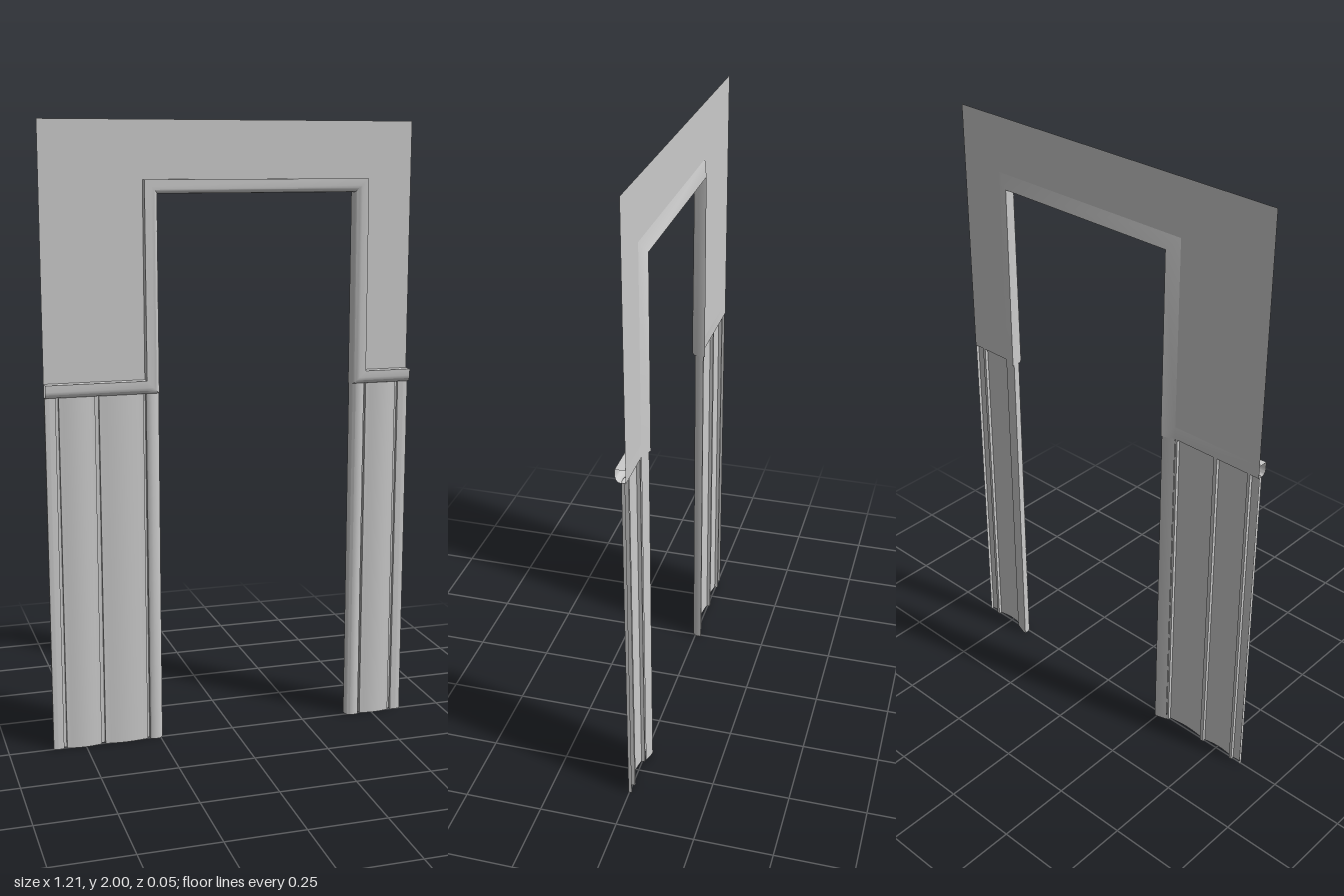
import * as THREE from 'three';
import { toCreasedNormals } from 'three/addons/utils/BufferGeometryUtils.js';

const HALF = 0.606, TOP = 2, RAIL = 1.2, HEAD = 1.82;
const LEFT = 0.45, RIGHT = -0.285;   // outer edges of the door casing
const W = 0.043;                     // casing and rail width
const WALL_Z = -0.01;

const material = new THREE.MeshStandardMaterial({ color: 0xcccccc, side: THREE.DoubleSide });

// Skin a list of equal-length cross-sections into an open sheet.
function loft(sections, crease = 0.6) {
  const n = sections[0].length, index = [];
  for (let i = 0; i < sections.length - 1; i++) {
    for (let j = 0; j < n - 1; j++) {
      const a = i * n + j, b = a + n;
      index.push(a, b, a + 1, b, b + 1, a + 1);
    }
  }
  const geo = new THREE.BufferGeometry();
  geo.setAttribute('position', new THREE.Float32BufferAttribute(sections.flat(2), 3));
  geo.setIndex(index);
  return toCreasedNormals(geo, crease);
}

function part(name, geometry) {
  const mesh = new THREE.Mesh(geometry, material);
  mesh.name = name;
  return mesh;
}

// Moulding section at a path point; (dx, dy) points toward the moulding's inner edge.
function mouldingSection([x, y, dx, dy, front, back]) {
  const profile = [
    [0, WALL_Z], [0, front], [0.5, front], [0.72, front - 0.002], [0.88, front - 0.006],
    [0.97, front - 0.012], [1, front - 0.02], [1, back], [0, WALL_Z],
  ];
  return profile.map(([t, z]) => [x + dx * t * W, y + dy * t * W, z]);
}

// Boarded sheet: flat-ended bowed boards with narrow grooves between them.
function boardProfile(edges) {
  const pts = [];
  for (const [x0, x1] of edges) {
    const bow = Math.abs(x1 - x0) > 0.06 ? 0.007 : 0.002;
    pts.push([x0, -0.008]);
    for (let k = 0; k <= 8; k++) {
      const t = k / 8;
      pts.push([x0 + (x1 - x0) * t, 0.003 + bow * Math.sin(Math.PI * t)]);
    }
    pts.push([x1, -0.008]);
  }
  return pts;
}

// Rounded jamb strip wrapping round to the back of the sheet.
function jambProfile(outer, inner) {
  const at = t => outer + (inner - outer) * t;
  return [[0, -0.008], [0, 0.006], [0.1, 0.01], [0.4, 0.012], [0.7, 0.01], [0.9, 0.005],
    [1, -0.003], [1, -0.021], [0.8, -0.021], [0, -0.01]].map(([t, z]) => [at(t), z]);
}

function wainscot(name, boards, outer, inner) {
  const profile = [...boardProfile(boards), ...jambProfile(outer, inner)];
  const height = RAIL - W + 0.002;
  return part(name, loft([0, height].map(y => profile.map(([x, z]) => [x, y, z]))));
}

export function createModel() {
  const group = new THREE.Group();
  group.name = 'doorwayWall';

  // Thin upper wall around the opening
  const shape = new THREE.Shape([
    [-HALF, RAIL], [RIGHT, RAIL], [RIGHT, HEAD], [LEFT, HEAD],
    [LEFT, RAIL], [HALF, RAIL], [HALF, TOP], [-HALF, TOP],
  ].map(([x, y]) => new THREE.Vector2(x, y)));
  const wall = part('upperWall', new THREE.ShapeGeometry(shape));
  wall.position.z = WALL_Z;
  group.add(wall);

  // Chair rails and door casing as one mitred moulding
  const f = 0.022, h = 0.018, back = -0.026;
  const path = [
    [-HALF, RAIL, 0, -1, f, WALL_Z],
    [RIGHT, RAIL, 0, -1, f, WALL_Z],
    [RIGHT, RAIL, 1, -1, f, back],
    [RIGHT, HEAD, 1, -1, h, back],
    [LEFT, HEAD, -1, -1, h, back],
    [LEFT, RAIL, -1, -1, f, back],
    [LEFT, RAIL, 0, -1, f, WALL_Z],
    [HALF, RAIL, 0, -1, f, WALL_Z],
  ];
  group.add(part('railAndDoorCasing', loft(path.map(mouldingSection))));

  // Boarded lower wall either side of the opening
  group.add(wainscot('rightWainscot',
    [[-HALF, -0.572], [-0.562, -0.448], [-0.435, -0.293]], RIGHT, RIGHT + W));
  group.add(wainscot('leftWainscot',
    [[HALF, 0.572], [0.562, 0.458]], LEFT, LEFT - W));

  return group;
}
